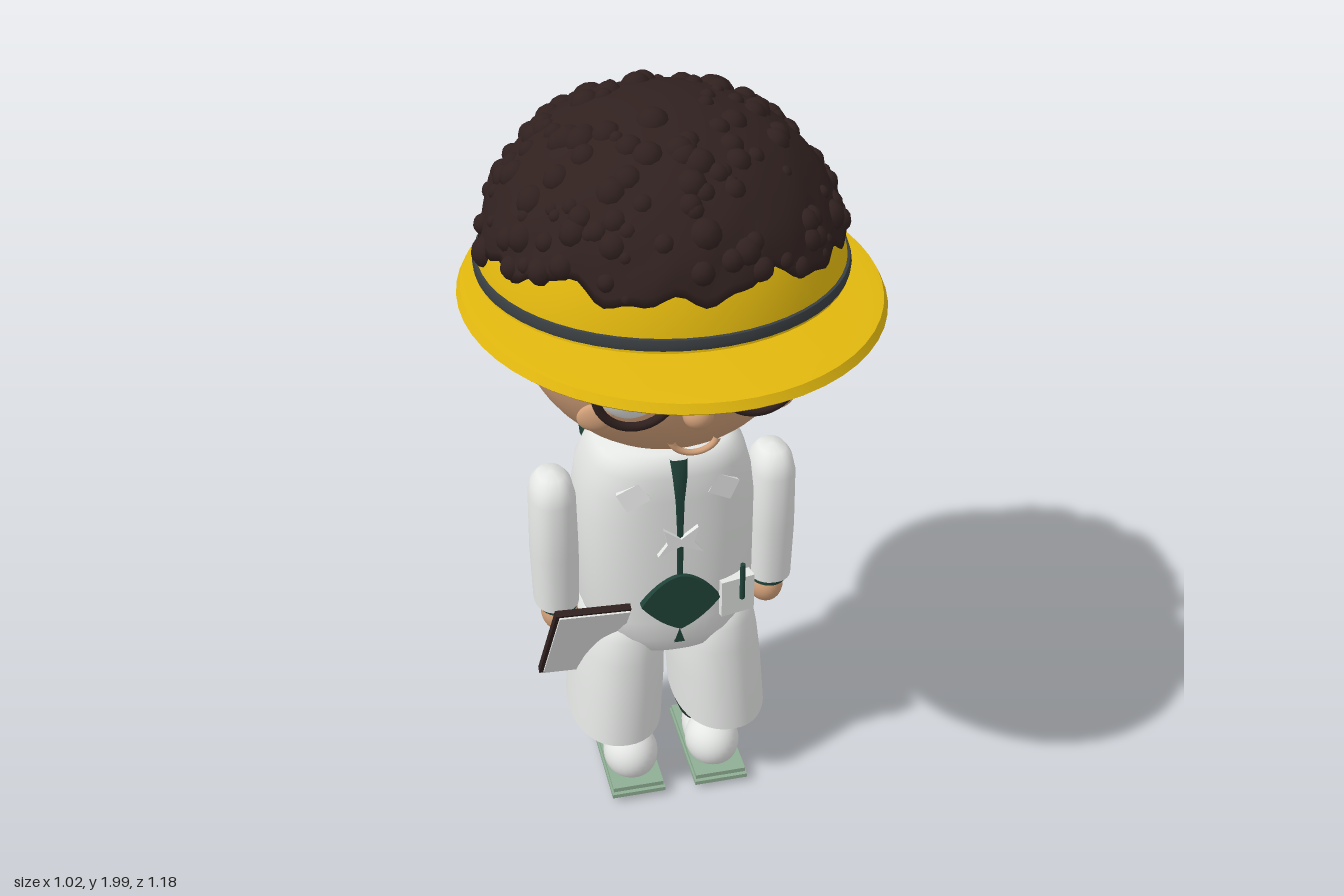
import * as THREE from 'three';
import { mergeGeometries, toCreasedNormals } from 'three/addons/utils/BufferGeometryUtils.js';

const mat = (name, color) => {
  const m = new THREE.MeshStandardMaterial({ color });
  m.name = name;
  return m;
};

export function createModel() {
  const skin = mat('skin', 0xd2a079), fade = mat('hairFade', 0x926c53), hair = mat('darkBrown', 0x30211f);
  const yellow = mat('hatYellow', 0xe2b80e), band = mat('charcoal', 0x3a3f42), white = mat('white', 0xeceeec);
  const green = mat('darkGreen', 0x1f4238), sock = mat('sockGreen', 0x2f3f3b), sole = mat('paleGreen', 0x8fae94);
  const black = mat('black', 0x150e0e);
  const model = new THREE.Group();

  const add = (name, geo, material, x = 0, y = 0, z = 0, rx = 0, ry = 0, rz = 0) => {
    const m = new THREE.Mesh(geo, material);
    m.name = name;
    m.position.set(x, y, z);
    m.rotation.set(rx, ry, rz);
    model.add(m);
    return m;
  };
  const ball = (a, b, c, w = 28, h = 20) => new THREE.SphereGeometry(1, w, h).scale(a, b, c);
  const box = (a, b, c) => new THREE.BoxGeometry(a, b, c);
  const lathe = (pts, sx, sz) =>
    toCreasedNormals(new THREE.LatheGeometry(pts.map(p => new THREE.Vector2(...p)), 56).scale(sx, 1, sz), 0.7);

  // Surface closed around the first direction, rows running upward
  const grid = (n, rows, point) => {
    const pos = [], idx = [];
    for (let r = 0; r < rows; r++) for (let i = 0; i < n; i++) {
      pos.push(...point((i / n) * Math.PI * 2, r));
      if (r === rows - 1) continue;
      const a = r * n + i, c = r * n + (i + 1) % n;
      idx.push(a, a + n, c, c, a + n, c + n);
    }
    const g = new THREE.BufferGeometry();
    g.setAttribute('position', new THREE.Float32BufferAttribute(pos, 3));
    g.setIndex(idx);
    g.computeVertexNormals();
    return g;
  };
  // Superellipse rings [y, centreX, centreZ, radiusX, radiusZ], bottom to top
  const loft = (rings, e = 2, n = 40) => {
    const pw = v => Math.sign(v) * Math.abs(v) ** (2 / e);
    return toCreasedNormals(grid(n, rings.length, (a, r) => {
      const [y, cx, cz, rx, rz] = rings[r];
      return [cx + rx * pw(Math.cos(a)), y, cz + rz * pw(Math.sin(a))];
    }), 0.8);
  };
  const plate = (pts, depth) => new THREE.ExtrudeGeometry(
    new THREE.Shape(pts.map(p => new THREE.Vector2(...p))), { depth, bevelEnabled: false });

  // Head with shaved band round the back
  const hz = -0.095;
  add('head', new THREE.SphereGeometry(0.37, 48, 32), skin, 0, 1.45, hz);
  const backBand = (r, y0, y1) => new THREE.SphereGeometry(r, 40, 3, Math.PI - 0.34, Math.PI + 0.68,
    Math.acos(y1 / r), Math.acos(y0 / r) - Math.acos(y1 / r));
  add('shavedHair', backBand(0.373, -0.06, 0.035), fade, 0, 1.45, hz).material.side = THREE.DoubleSide;
  add('hairLine', backBand(0.375, 0.068, 0.1), hair, 0, 1.45, hz);
  add('nose', ball(0.037, 0.035, 0.035), skin, 0, 1.345, 0.285);
  const smile = new THREE.TorusGeometry(0.058, 0.009, 10, 24, Math.PI - 0.5).rotateZ(Math.PI + 0.25).scale(1, 0.8, 1);
  add('mouth', smile, skin, 0, 1.266, 0.25);

  // Face details, mirrored
  for (const s of [-1, 1]) {
    add('ear', ball(0.036, 0.083, 0.065), skin, s * 0.375, 1.405, hz);
    add('cheek', ball(0.045, 0.036, 0.016), skin, s * 0.225, 1.31, 0.187, 0, s * 0.3, s * -0.25);
    const ex = s * 0.145;
    add('eye', ball(0.09, 0.1, 0.032), white, ex, 1.428, 0.236);
    add('iris', ball(0.058, 0.06, 0.02), hair, ex - 0.004, 1.425, 0.256);
    add('pupil', ball(0.036, 0.038, 0.012), black, ex - 0.004, 1.425, 0.267);
    add('eyeGlint', ball(0.013, 0.013, 0.006, 12, 8), white, ex + 0.024, 1.453, 0.279);
    add('glassesRim', new THREE.TorusGeometry(0.096, 0.011, 10, 40), hair, ex, 1.425, 0.278);
    add('glassesTemple', box(0.012, 0.012, 0.14), hair, s * 0.266, 1.43, 0.22, 0, s * -0.1, 0);
    add('glassesHinge', box(0.03, 0.012, 0.012), hair, s * 0.264, 1.43, 0.28);
  }
  add('glassesBridge', box(0.09, 0.014, 0.014), hair, 0, 1.43, 0.28);

  // Hat
  add('hatBrim', lathe([[0.001, 1.53], [0.985, 1.53], [1, 1.537], [0.98, 1.557], [0.9, 1.562], [0.001, 1.562]],
    0.508, 0.59), yellow);
  add('hatCrown', lathe([[0.46, 1.555], [0.452, 1.6], [0.437, 1.65], [0.415, 1.71], [0.36, 1.8], [0.2, 1.91],
    [0.001, 1.94]], 0.985, 1.01), yellow, 0, 0, -0.092);
  add('hatBand', lathe([[0.44, 1.568], [0.459, 1.57], [0.461, 1.582], [0.457, 1.596], [0.44, 1.598]],
    0.99, 1.017), band, 0, 0, -0.092);

  // Curly hair: lumpy dome with a ragged lower edge, covered with curls
  const edgeY = a => 1.65 + 0.03 * Math.max(0, Math.sin(a)) + 0.014 * Math.sin(5 * a + 2)
    + 0.015 * Math.sin(11 * a + 1) + 0.009 * Math.sin(23 * a);
  const domeR = y => Math.sqrt(Math.max(0, 1 - ((y - 1.6) / 0.385) ** 2));
  const rows = 26;
  const dome = grid(120, rows, (a, r) => {
    const t = Math.max(0, r - 1) / (rows - 2);
    const y = edgeY(a) + (1.985 - edgeY(a)) * Math.sin(t * Math.PI / 2);
    const lump = 1 + 0.012 * Math.sin(9 * a + 8 * t) * Math.sin(13 * t + 2 * a) * (1 - t);
    const k = domeR(y) * lump * (r === 0 ? 0.9 : 1);
    return [0.442 * k * Math.cos(a), y + (r === 0 ? 0.004 : 0), hz + 0.004 + 0.445 * k * Math.sin(a)];
  });
  add('hair', dome, hair);
  let seed = 7;
  const rnd = () => (seed = (seed * 16807) % 2147483647) / 2147483647;
  const curls = [];
  for (let i = 0; i < 210; i++) {
    const a = rnd() * Math.PI * 2, low = edgeY(a) + 0.015;
    const y = low + (1.975 - low) * rnd(), size = 0.016 + 0.026 * rnd();
    const k = domeR(y) * (1 - size * 0.7);
    curls.push(new THREE.SphereGeometry(size, 12, 8)
      .translate(0.442 * k * Math.cos(a), y - size * 0.45, hz + 0.445 * k * Math.sin(a)));
  }
  curls.push(ball(0.028, 0.03, 0.02, 12, 8).translate(-0.1, 1.635, -0.535));
  add('curls', mergeGeometries(curls), hair);

  // Jacket, hood and front opening
  add('jacket', loft([[0.42, 0, -0.09, 0.001, 0.001], [0.44, 0, -0.09, 0.07, 0.12], [0.49, 0, -0.09, 0.16, 0.18],
    [0.54, 0, -0.095, 0.215, 0.202], [0.6, 0, -0.1, 0.236, 0.21], [0.9, 0, -0.1, 0.236, 0.21],
    [0.98, 0, -0.095, 0.226, 0.203], [1.05, 0, -0.075, 0.205, 0.182], [1.09, 0, -0.06, 0.185, 0.155],
    [1.105, 0, -0.055, 0.16, 0.13], [1.108, 0, -0.055, 0.001, 0.001]], 2.6, 56), white);
  add('hood', ball(0.195, 0.115, 0.155), green, 0, 1.025, -0.222, 0.15);
  add('neck', new THREE.CylinderGeometry(0.12, 0.13, 0.06, 32), green, 0, 1.09, -0.07);
  add('shirtStrip', loft([[0.72, 0, 0.107, 0.008, 0.008], [0.9, 0, 0.107, 0.009, 0.008], [0.98, 0, 0.105, 0.012, 0.008],
    [1.05, 0, 0.104, 0.019, 0.009], [1.1, 0, 0.09, 0.023, 0.012]], 3, 16), green);
  const d = new THREE.Shape();
  d.moveTo(0.105, 0);
  for (const [cx, cy, x, y] of [[0.055, 0.08, 0, 0.086], [-0.055, 0.08, -0.105, 0],
    [-0.055, -0.065, 0, -0.086], [0.055, -0.065, 0.105, 0]]) d.quadraticCurveTo(cx, cy, x, y);
  add('shirtFront', new THREE.ExtrudeGeometry(d, { depth: 0.028, bevelEnabled: false }), green, 0, 0.67, 0.095);
  add('zipEnd', plate([[-0.014, -0.02], [0.014, -0.02], [0, 0.025]], 0.03), green, 0, 0.55, 0.08);
  add('drawstringBow', plate([[0, -0.01], [0.06, -0.035], [0.035, 0], [0.045, 0.045], [0, 0.012], [-0.045, 0.045],
    [-0.035, 0], [-0.06, -0.035]], 0.016), white, 0, 0.86, 0.106);
  for (const s of [-1, 1])
    add('collarFlap', box(0.07, 0.055, 0.02), white, s * 0.115, 1, 0.086, -0.1, s * 0.2, s * -0.5);
  add('pocket', box(0.095, 0.11, 0.035), white, 0.155, 0.652, 0.088, 0, 0.2, 0);
  add('pen', new THREE.CylinderGeometry(0.007, 0.007, 0.11, 10), green, 0.167, 0.705, 0.114);

  // Arms and legs, mirrored
  for (const s of [-1, 1]) {
    const c = s * 0.295;
    add('sleeve', loft([[0.585, c, -0.09, 0.001, 0.001], [0.585, c, -0.09, 0.06, 0.078], [0.75, c, -0.09, 0.064, 0.083],
      [0.92, c, -0.09, 0.061, 0.083], [0.96, c, -0.09, 0.052, 0.07], [0.983, c, -0.09, 0.035, 0.046],
      [0.993, c, -0.09, 0.001, 0.001]], 2.3), white);
    add('cuff', new THREE.CylinderGeometry(1, 1, 0.022, 32).scale(0.054, 1, 0.07), green, s * 0.292, 0.58, -0.09);
    add('hand', ball(0.05, 0.057, 0.063), skin, s * 0.288, 0.54, -0.09);

    add('trouserLeg', loft([[0.205, s * 0.148, -0.08, 0.001, 0.001], [0.205, s * 0.148, -0.08, 0.128, 0.205],
      [0.35, s * 0.138, -0.08, 0.127, 0.195], [0.46, s * 0.13, -0.08, 0.122, 0.183],
      [0.53, s * 0.128, -0.08, 0.11, 0.172], [0.575, s * 0.128, -0.08, 0.09, 0.15],
      [0.598, s * 0.128, -0.08, 0.055, 0.1], [0.605, s * 0.128, -0.08, 0.001, 0.001]], 2.2), white);
    const fx = s * 0.118;
    add('sock', loft([[0.09, fx, -0.088, 0.04, 0.045], [0.12, fx, -0.088, 0.07, 0.075], [0.16, fx, -0.088, 0.085, 0.088],
      [0.23, fx, -0.088, 0.085, 0.088]]), sock);
    add('shoeToe', ball(0.076, 0.078, 0.085), white, fx, 0.083, 0.012);
    add('shoeHeel', ball(0.068, 0.066, 0.125), white, fx, 0.07, -0.045);
    add('soleBump', ball(0.045, 0.02, 0.1), white, fx, 0.02, -0.03);
    add('solePlate', box(0.15, 0.012, 0.32), sole, fx, 0.022, -0.035);
    add('upperSolePlate', box(0.142, 0.013, 0.305), sole, fx, 0.038, -0.035);
    for (const [dx, dy] of [[-0.025, 0.137], [0.025, 0.137], [0, 0.146], [-0.012, 0.125], [0.012, 0.125]])
      add('shoeEyelet', ball(0.004, 0.004, 0.004, 8, 6), black, fx + dx, dy, 0.054 + (0.137 - dy) * 0.8);
  }

  // Clipboard held at the right hip, leaning forward at the top
  const clipboard = new THREE.Group();
  clipboard.name = 'clipboard';
  const board = new THREE.Mesh(box(0.2, 0.34, 0.018), hair);
  board.name = 'board';
  const paper = new THREE.Mesh(box(0.188, 0.325, 0.006), white);
  paper.name = 'paper';
  paper.position.set(0.004, 0, 0.011);
  clipboard.add(board, paper);
  clipboard.position.set(-0.245, 0.525, 0.035);
  clipboard.rotation.set(0.46, 0, -0.09);
  model.add(clipboard);
  return model;
}
